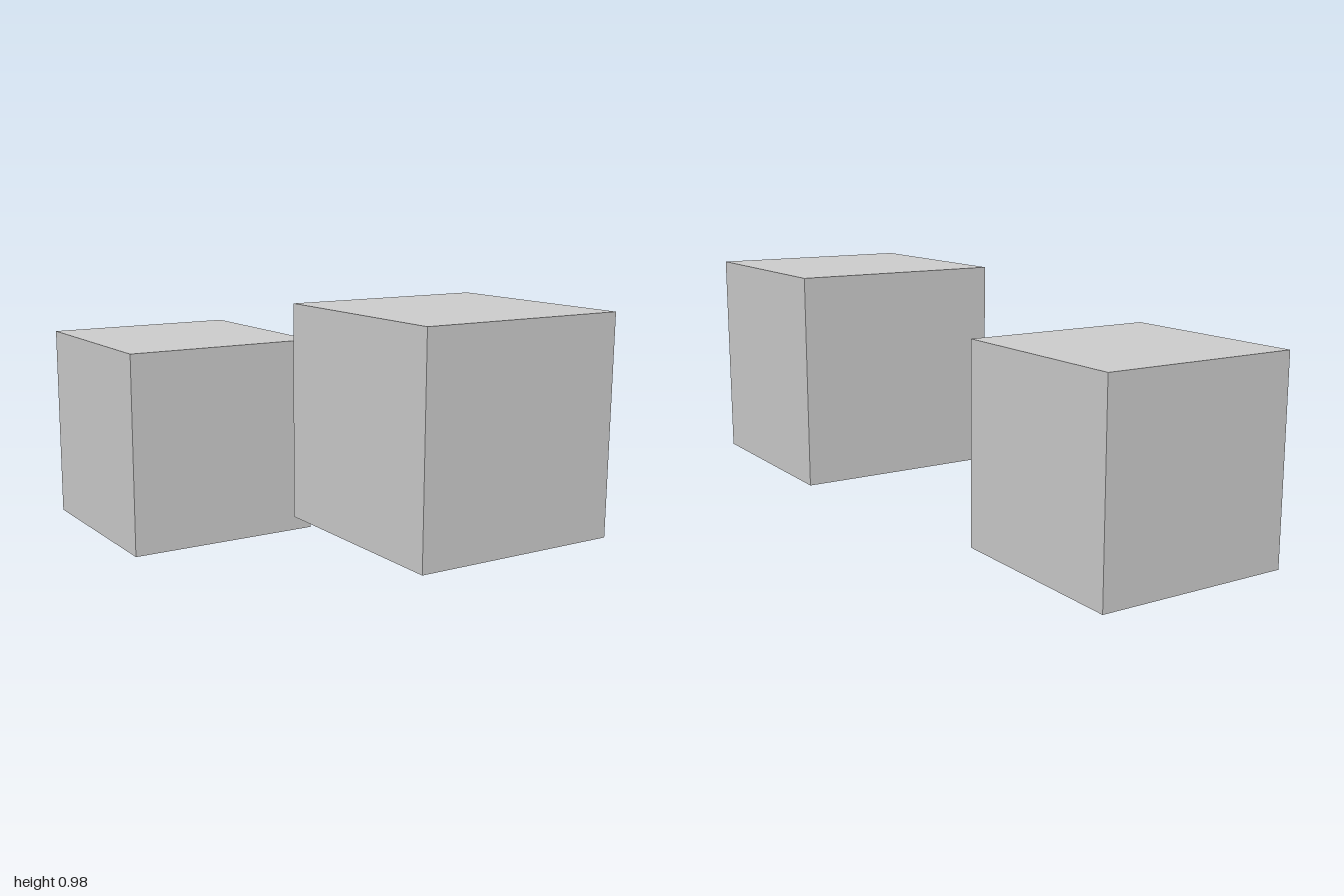
import * as THREE from 'three';

const SIZE = 0.782;

export function createModel() {
  const group = new THREE.Group();
  const material = new THREE.MeshStandardMaterial({ color: 0xcccccc, flatShading: true });
  const geometry = new THREE.BoxGeometry(SIZE, SIZE, SIZE);

  const addCube = (name, x, bottom, z) => {
    const cube = new THREE.Mesh(geometry, material);
    cube.name = name;
    cube.position.set(x, bottom + SIZE / 2, z);
    group.add(cube);
  };

  // Two equal cubes, the front one raised and shifted to the left
  addCube('frontRaisedCube', 0.221, 0.202, 0.609);
  addCube('rearGroundCube', -0.221, 0, -0.609);

  return group;
}
